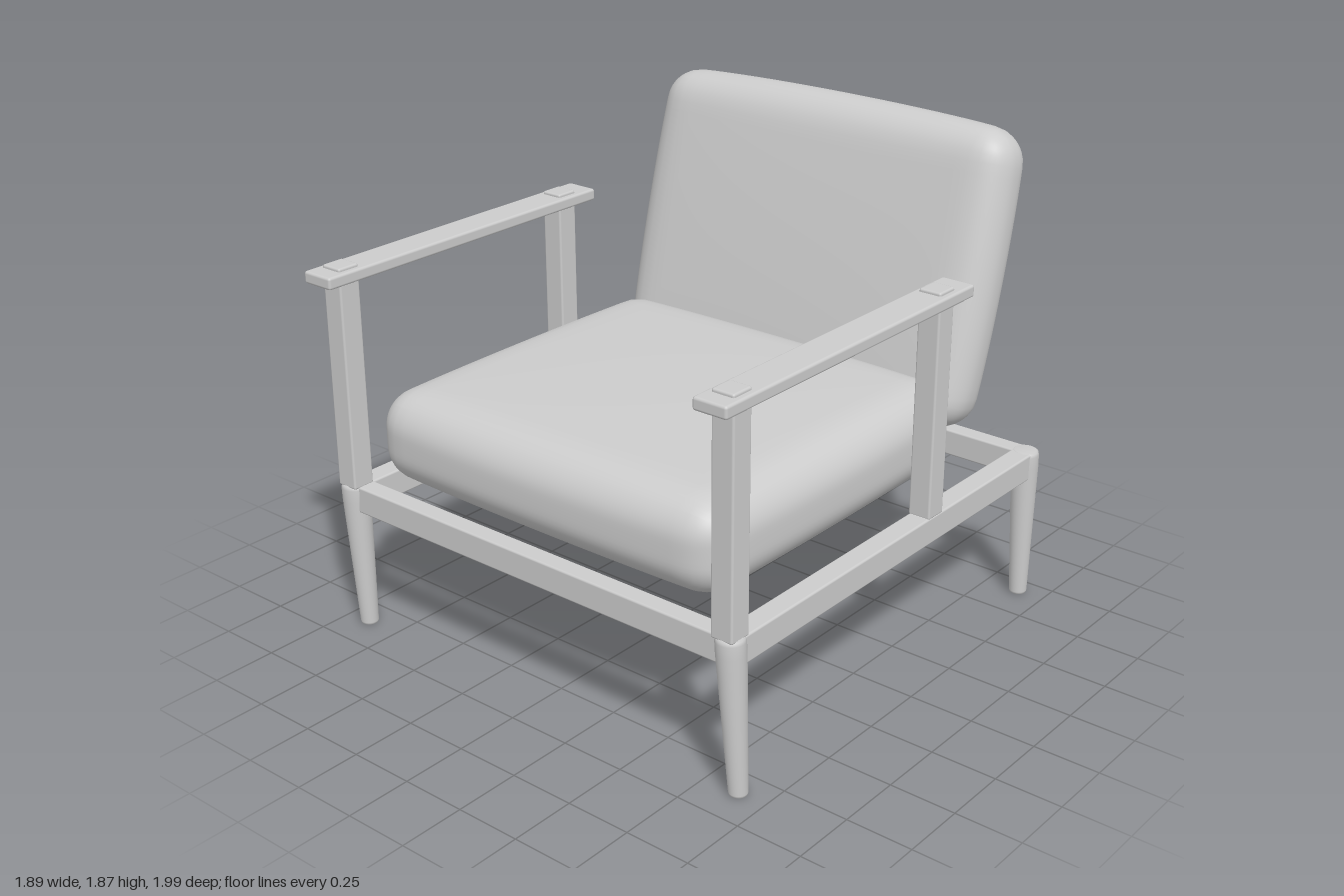
import * as THREE from 'three';
import { mergeVertices } from 'three/addons/utils/BufferGeometryUtils.js';
import { RoundedBoxGeometry } from 'three/addons/geometries/RoundedBoxGeometry.js';

// Rounded box whose six sides swell outwards by bulge = [x, y, z]
function cushionGeometry(size, radius, bulge) {
  let geo = new THREE.BoxGeometry(2, 2, 2, 28, 28, 28);
  geo.deleteAttribute('normal');
  geo.deleteAttribute('uv');
  geo = mergeVertices(geo);
  const pos = geo.attributes.position;
  const half = size.map((s) => s / 2);
  for (let i = 0; i < pos.count; i++) {
    const u = [pos.getX(i), pos.getY(i), pos.getZ(i)];
    // gather the grid lines near the edges, then round the edges off
    const p = u.map((t, k) => Math.sin(t * Math.PI / 2) * half[k]);
    const core = p.map((v, k) => THREE.MathUtils.clamp(v, radius - half[k], half[k] - radius));
    const out = new THREE.Vector3(...p.map((v, k) => v - core[k])).normalize().multiplyScalar(radius);
    const q = [core[0] + out.x, core[1] + out.y, core[2] + out.z];
    const n = q.map((v, k) => v / half[k]);
    const fall = n.map((t) => Math.max(0, 1 - t * t));
    const swollen = q.map((v, k) => v + bulge[k] * n[k] * fall[(k + 1) % 3] ** 0.6 * fall[(k + 2) % 3] ** 0.6);
    pos.setXYZ(i, ...swollen);
  }
  geo.computeVertexNormals();
  return geo;
}

// Round tapered leg, sheared so that its foot is offset from its top
function legGeometry(dx, dz) {
  const profile = [[0, 0], [0.026, 0], [0.032, 0.004], [0.034, 0.012], [0.052, 0.54],
    [0.052, 0.59], [0.049, 0.602], [0.042, 0.607], [0, 0.607]];
  const geo = new THREE.LatheGeometry(profile.map((p) => new THREE.Vector2(...p)), 28);
  const pos = geo.attributes.position;
  for (let i = 0; i < pos.count; i++) {
    const t = 1 - pos.getY(i) / 0.607;
    pos.setX(i, pos.getX(i) + dx * t);
    pos.setZ(i, pos.getZ(i) + dz * t);
  }
  return geo;
}

export function createModel() {
  const group = new THREE.Group();
  const grey = new THREE.MeshStandardMaterial({ color: 0xcccccc });
  grey.name = 'light grey';

  const add = (name, geo, x = 0, y = 0, z = 0) => {
    const mesh = new THREE.Mesh(geo, grey);
    mesh.name = name;
    mesh.position.set(x, y, z);
    group.add(mesh);
    return mesh;
  };
  // Softly bevelled bar given by its limits on each axis
  const bar = (name, [x0, x1], [y0, y1], [z0, z1], r = 0.008) =>
    add(name, new RoundedBoxGeometry(x1 - x0, y1 - y0, z1 - z0, 2, r),
      (x0 + x1) / 2, (y0 + y1) / 2, (z0 + z1) / 2);

  // Cushions
  add('seatCushion', cushionGeometry([1.57, 0.34, 1.435], 0.13, [0.025, 0.03, 0.03]), 0, 0.81, 0.1475);
  const back = add('backCushion', cushionGeometry([1.57, 1.1, 0.25], 0.115, [0.03, 0.03, 0.02]), 0, 1.3, -0.745);
  back.rotation.x = -0.26;

  // Cross rails
  bar('frontRail', [-0.85, 0.85], [0.5, 0.605], [0.84, 0.915]);
  bar('backRail', [-0.86, 0.86], [0.5, 0.605], [-0.96, -0.89]);

  // Frame on each side
  for (const [side, s] of [['left', 1], ['right', -1]]) {
    const span = (a, b) => (s > 0 ? [a, b] : [-b, -a]);
    bar(side + 'SideRail', span(0.835, 0.92), [0.5, 0.605], [-0.9, 0.89]);
    bar(side + 'Armrest', span(0.81, 0.943), [1.397, 1.443], [-0.37, 1.0], 0.01);
    // Posts run through the armrest and show as small caps on top
    bar(side + 'FrontPost', span(0.832, 0.92), [0.6, 1.455], [0.845, 0.935]);
    bar(side + 'RearPost', span(0.832, 0.92), [0.6, 1.455], [-0.278, -0.188]);
    add(side + 'FrontLeg', legGeometry(s * 0.013, -0.033), s * 0.88, 0, 0.892);
    add(side + 'RearLeg', legGeometry(s * 0.013, 0.005), s * 0.88, 0, -0.92);
  }
  return group;
}
